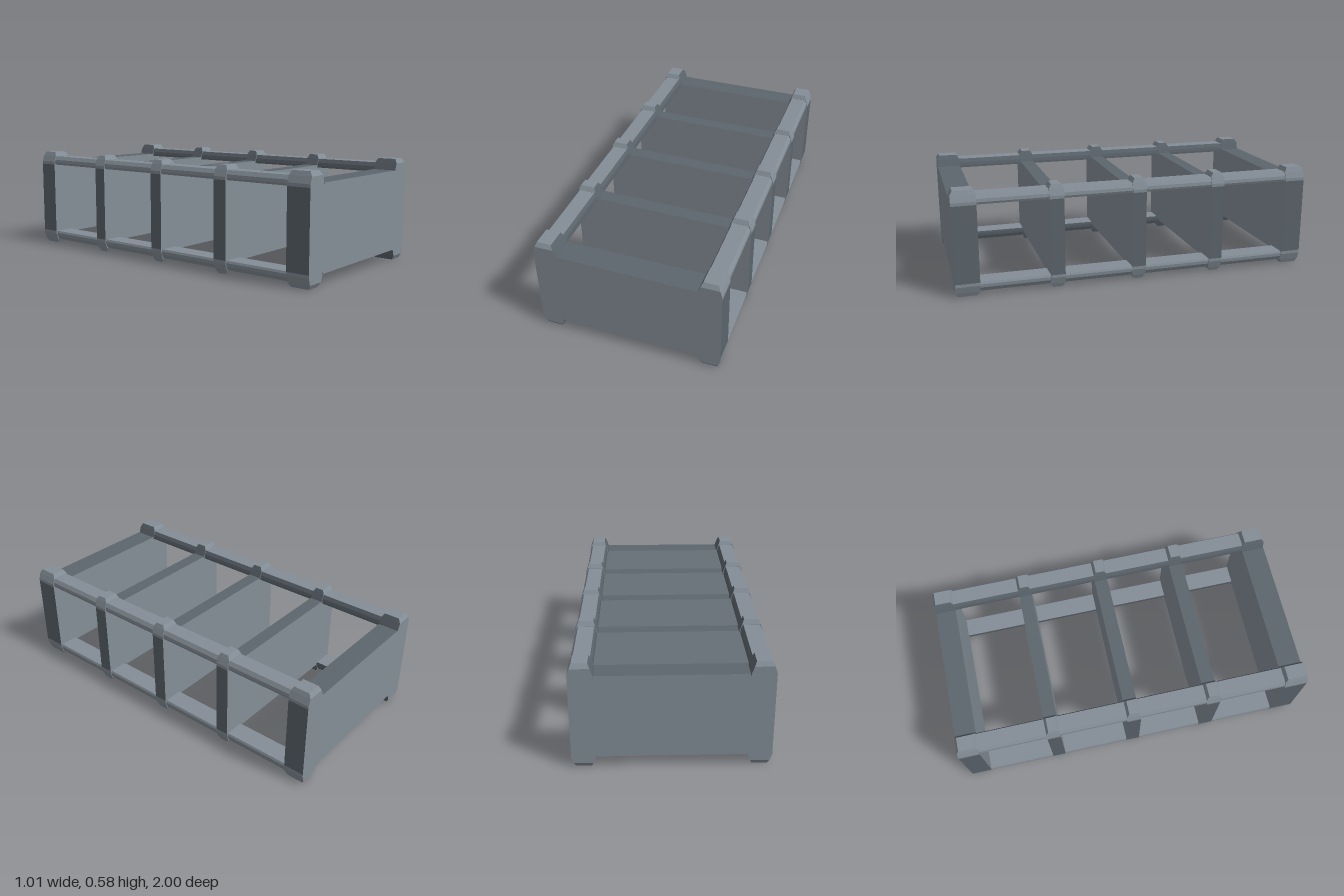
import * as THREE from 'three';

const H = 0.577; // overall height
const frameGrey = new THREE.MeshStandardMaterial({ color: 0x848e97 });
frameGrey.name = 'frameGrey';
const edgeGrey = new THREE.MeshStandardMaterial({ color: 0x5c656d });
edgeGrey.name = 'edgeGrey';

// Stacks rectangular rings [y, xInner, xOuter, zInset] into a closed solid.
// The faces toward the centre of the frame take the darker material.
function loft(rings, z0, z1, sx, sy) {
  const light = [], dark = [];
  const corners = rings.map(([y, a, b, inset]) =>
    [[a, z1 - inset], [b, z1 - inset], [b, z0 + inset], [a, z0 + inset]]
      .map(([x, z]) => [x * sx, sy > 0 ? y : H - y, z]));
  const flip = sx * sy < 0;
  const quad = (out, a, b, c, d) => {
    const order = flip ? [a, c, b, a, d, c] : [a, b, c, a, c, d];
    order.forEach((p) => out.push(...p));
  };
  for (let i = 0; i < corners.length - 1; i++) {
    const lo = corners[i], hi = corners[i + 1];
    for (let k = 0; k < 4; k++) {
      const n = (k + 1) % 4;
      quad(k === 3 ? dark : light, lo[k], lo[n], hi[n], hi[k]);
    }
  }
  const bottom = corners[0], top = corners[corners.length - 1];
  quad(light, top[0], top[1], top[2], top[3]);
  quad(light, bottom[3], bottom[2], bottom[1], bottom[0]);

  const geo = new THREE.BufferGeometry();
  geo.setAttribute('position', new THREE.Float32BufferAttribute([...light, ...dark], 3));
  geo.addGroup(0, light.length / 3, 0);
  geo.addGroup(light.length / 3, dark.length / 3, 1);
  geo.computeVertexNormals();
  return new THREE.Mesh(geo, [frameGrey, edgeGrey]);
}

// Divider plate, notched where the corner caps sit
function panel(z0, z1) {
  const outline = [
    [-0.376, 0.062], [0.376, 0.062], [0.376, 0.077], [0.504, 0.077],
    [0.504, 0.5], [0.376, 0.5], [0.376, 0.515], [-0.376, 0.515],
    [-0.376, 0.5], [-0.504, 0.5], [-0.504, 0.077], [-0.376, 0.077],
  ].map(([x, y]) => new THREE.Vector2(x, y));
  const geo = new THREE.ExtrudeGeometry(new THREE.Shape(outline), { depth: z1 - z0, bevelEnabled: false });
  geo.translate(0, 0, z0);
  return new THREE.Mesh(geo, [frameGrey, edgeGrey]);
}

export function createModel() {
  const model = new THREE.Group();
  model.name = 'rackFrame';
  const add = (mesh, name) => { mesh.name = name; model.add(mesh); };

  const capRings = [
    [0.5, 0.376, 0.504, 0], [0.517, 0.38, 0.504, 0],
    [0.553, 0.393, 0.492, 0], [H, 0.403, 0.482, 0.014],
  ];
  const railRings = [
    [0.5, 0.385, 0.494, 0], [0.512, 0.385, 0.499, 0],
    [0.53, 0.388, 0.497, 0], [0.552, 0.398, 0.484, 0],
  ];
  const spans = [[0.868, 1], [0.41, 0.49], [-0.047, 0.03], [-0.503, -0.428], [-1, -0.884]];

  // Panels, each with four tapered corner caps
  spans.forEach(([z0, z1], i) => {
    add(panel(z0, z1), i === 0 ? 'frontPanel' : i === 4 ? 'backPanel' : `divider${i}`);
    for (const sx of [1, -1]) for (const sy of [1, -1]) {
      add(loft(capRings, z0, z1, sx, sy), `${sy > 0 ? 'top' : 'bottom'}${sx > 0 ? 'Left' : 'Right'}Cap${i + 1}`);
    }
  });

  // Four long rails joining the panels
  for (const sx of [1, -1]) for (const sy of [1, -1]) {
    add(loft(railRings, -0.99, 0.99, sx, sy), `${sy > 0 ? 'top' : 'bottom'}${sx > 0 ? 'Left' : 'Right'}Rail`);
  }
  return model;
}
